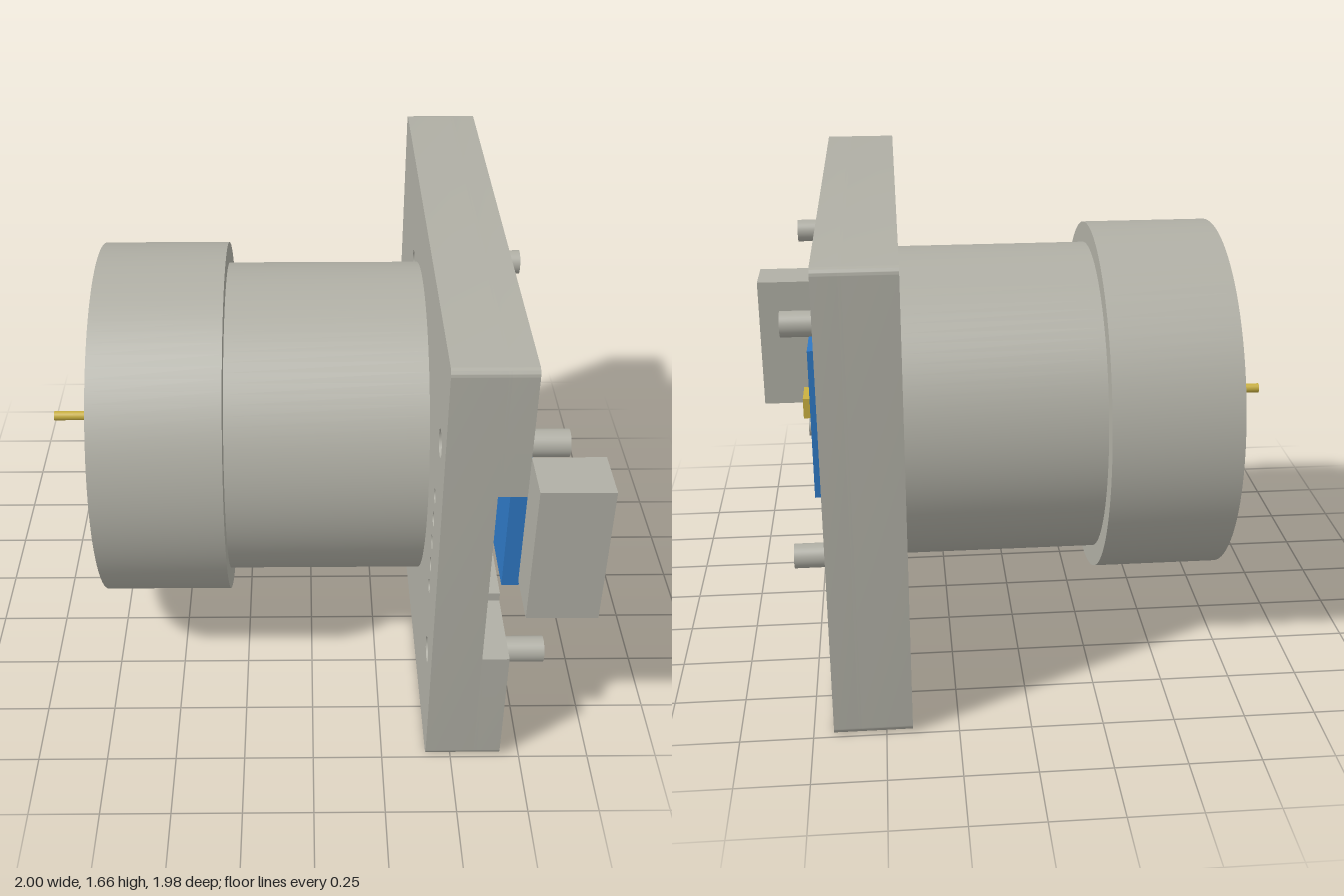
import * as THREE from 'three';
import { toCreasedNormals } from 'three/addons/utils/BufferGeometryUtils.js';

export function createModel() {
  const model = new THREE.Group();
  const paint = (name, color) => {
    const m = new THREE.MeshStandardMaterial({ color });
    m.name = name;
    return m;
  };
  const metal = paint('warm grey metal', 0xb0afa5);
  const blue = paint('board blue', 0x2e78c4);
  const gold = paint('gold', 0xc9b040);
  const CY = 0.833; // height of the barrel axis

  const add = (name, geometry, material) => {
    const mesh = new THREE.Mesh(geometry, material);
    mesh.name = name;
    model.add(mesh);
    return mesh;
  };
  const box = (name, material, x0, x1, y0, y1, z0, z1) =>
    add(name, new THREE.BoxGeometry(x1 - x0, y1 - y0, z1 - z0), material)
      .position.set((x0 + x1) / 2, (y0 + y1) / 2, (z0 + z1) / 2);
  const rod = (name, material, r, x0, x1, y, z) => {
    const g = new THREE.CylinderGeometry(r, r, x1 - x0, 32).rotateZ(-Math.PI / 2);
    add(name, g, material).position.set((x0 + x1) / 2, y, z);
  };

  // Barrel with a wider, internally threaded collar: one closed profile (radius, x)
  const profile = [[0, -0.31], [0.48, -0.31], [0.48, -0.37]];
  const teeth = 9, pitch = 0.41 / teeth;
  for (let i = 0; i < teeth; i++) {
    const x = -0.37 - i * pitch;
    profile.push([0.452, x - pitch * 0.5], [i < teeth - 1 ? 0.48 : 0.455, x - pitch]);
  }
  profile.push([0.67, -0.78], [0.67, -0.31], [0.592, -0.31], [0.592, 0.41], [0, 0.41]);
  const lathe = new THREE.LatheGeometry(profile.map(([r, x]) => new THREE.Vector2(r, x)), 96);
  lathe.rotateZ(-Math.PI / 2);
  add('threadedBarrel', toCreasedNormals(lathe, 0.5), metal).position.y = CY;

  // Mounting plate, in layers so the stepped pocket opens on its face and left edge
  const pegs = [];
  for (const y of [0.38, 1.29]) for (const z of [0.835, -0.395]) pegs.push([y, z]);
  const pinHoles = [-2, -1, 0, 1, 2].map((i) => [CY + i * 0.1, 0.78]);

  const plateLayer = (name, x0, x1, notch, holes) => {
    const W = 0.99, H = 1.665, r = 0.025, s = new THREE.Shape(); // shape x is -z
    s.moveTo(-W + r, 0);
    s.lineTo(W - r, 0);
    s.absarc(W - r, r, r, -Math.PI / 2, 0);
    s.absarc(W - r, H - r, r, 0, Math.PI / 2);
    s.absarc(-W + r, H - r, r, Math.PI / 2, Math.PI);
    notch.forEach(([u, y]) => s.lineTo(u, y));
    s.absarc(-W + r, r, r, Math.PI, Math.PI * 1.5);
    for (const [y, z, radius] of holes) {
      const h = new THREE.Path();
      h.absarc(-z, y, radius, 0, Math.PI * 2, true);
      s.holes.push(h);
    }
    const g = new THREE.ExtrudeGeometry(s, { depth: x1 - x0, bevelEnabled: false, curveSegments: 10 });
    g.rotateY(Math.PI / 2).translate(x0, 0, 0);
    add(name, toCreasedNormals(g, 0.6), metal);
  };
  const pegHoles = pegs.map(([y, z]) => [y, z, 0.048]);
  const wideTop = [[-0.99, 1.19], [-0.69, 1.19]];
  const wideBottom = [[-0.69, 0.48], [-0.99, 0.48]];
  const pocket = [[-0.69, 1.155], [0.255, 1.155], [0.255, 0.515], [-0.69, 0.515]];
  plateLayer('plateBack', 0.41, 0.585, [], [...pegHoles, ...pinHoles.map(([y, z]) => [y, z, 0.026])]);
  plateLayer('plateStep', 0.585, 0.595, [...wideTop, ...wideBottom], pegHoles);
  plateLayer('plateFront', 0.595, 0.68, [...wideTop, ...pocket, ...wideBottom], pegHoles);

  // Four pegs seated in the plate holes
  for (const [y, z] of pegs) rod('peg', metal, 0.046, 0.5, 0.825, y, z);

  // Probe pin on the axis
  rod('probePin', gold, 0.018, -1, 0.687, CY, 0);

  // Circuit board, chip and edge connector
  box('circuitBoard', blue, 0.685, 0.748, 0.54, 1.13, -0.238, 0.672);
  box('chip', gold, 0.748, 0.785, 0.793, 0.873, -0.062, 0.062);
  box('connector', metal, 0.745, 1, 0.56, 1.112, 0.672, 0.87);

  return model;
}
